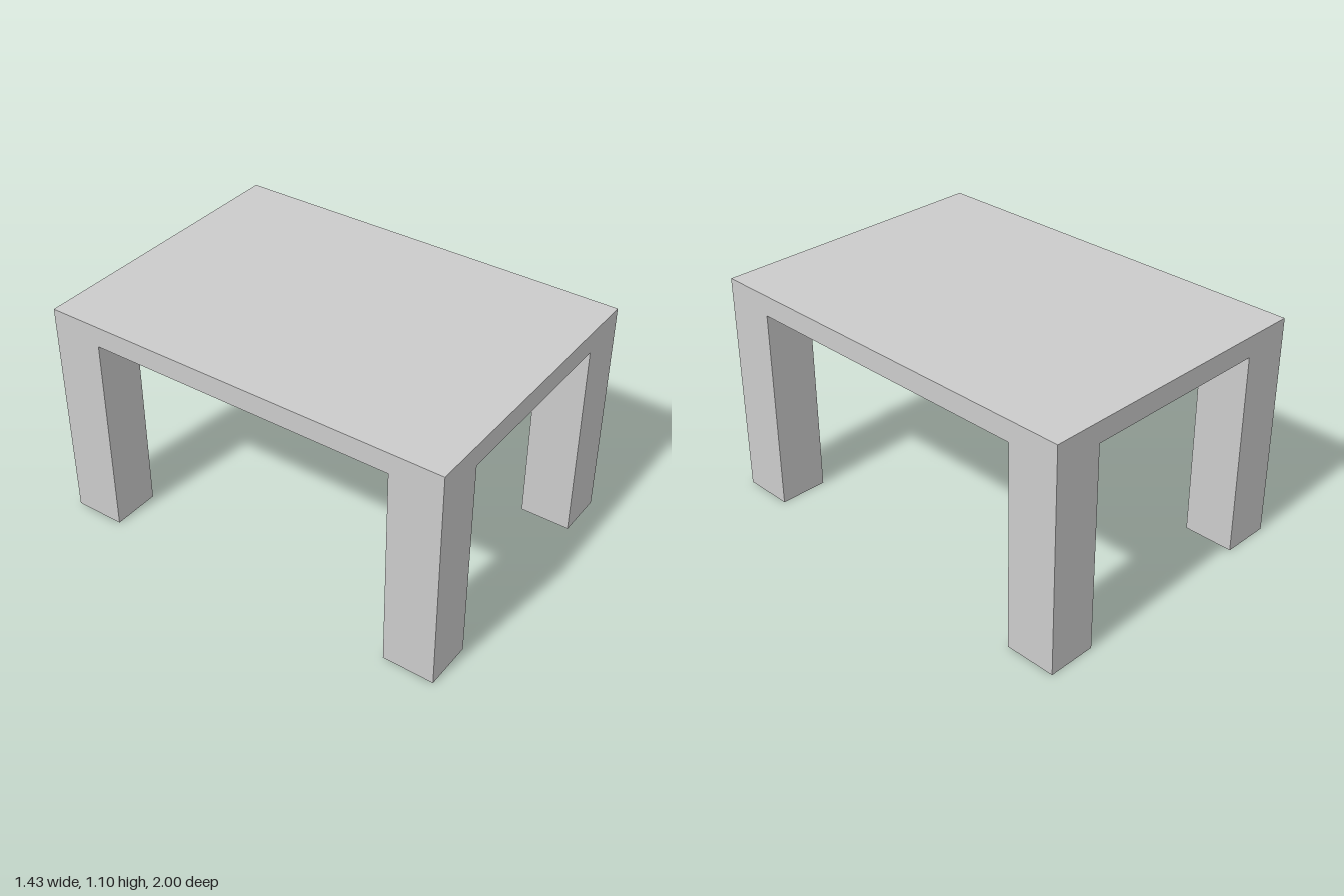
import * as THREE from 'three';

const WIDTH = 1.427, DEPTH = 2, HEIGHT = 1.1, TOP = 0.1;
const LEG_X = 0.238, LEG_Z = 0.25;

export function createModel() {
  const table = new THREE.Group();
  table.name = 'table';
  const material = new THREE.MeshStandardMaterial({ color: 0xcccccc });

  // Box standing on the given base height
  const addBox = (name, w, h, d, x, base, z) => {
    const mesh = new THREE.Mesh(new THREE.BoxGeometry(w, h, d), material);
    mesh.name = name;
    mesh.position.set(x, base + h / 2, z);
    table.add(mesh);
  };

  // Flat slab top
  addBox('tableTop', WIDTH, TOP, DEPTH, 0, HEIGHT - TOP, 0);

  // Four legs, flush with the corners of the top
  for (const [end, sz] of [['front', 1], ['back', -1]]) {
    for (const [side, sx] of [['Left', 1], ['Right', -1]]) {
      addBox(`${end}${side}Leg`, LEG_X, HEIGHT - TOP, LEG_Z,
        sx * (WIDTH - LEG_X) / 2, 0, sz * (DEPTH - LEG_Z) / 2);
    }
  }
  return table;
}
